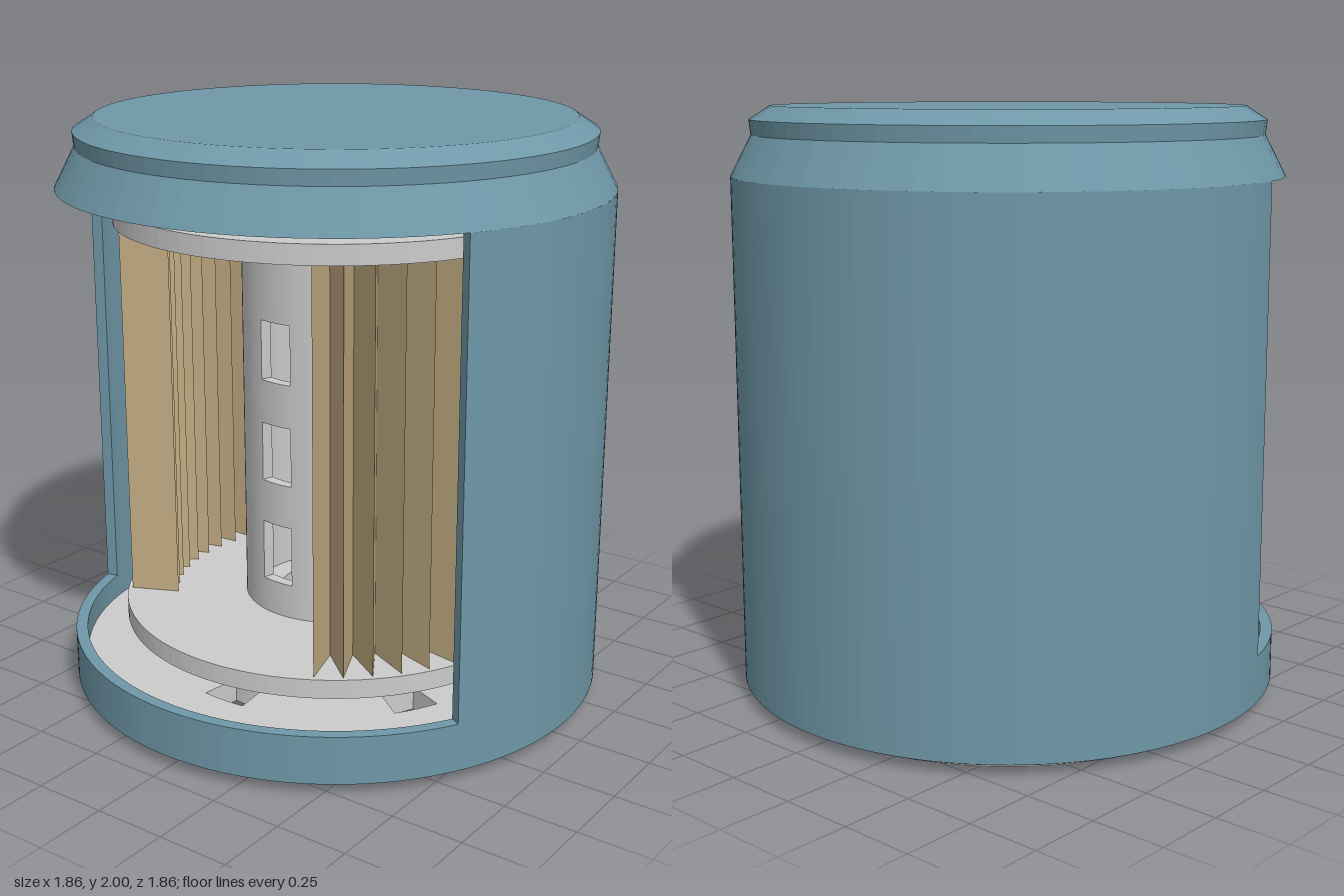
import * as THREE from 'three';

const deg = Math.PI / 180;
const material = (color) =>
  new THREE.MeshStandardMaterial({ color, flatShading: true, side: THREE.DoubleSide });

// Shape drawn in x/z, extruded from y0 up to y1
function slab(shape, y0, y1, curveSegments) {
  return new THREE.ExtrudeGeometry(shape, { depth: y1 - y0, bevelEnabled: false, curveSegments })
    .rotateX(Math.PI / 2)
    .translate(0, y1, 0);
}

// Outline of part of a ring, angles in degrees from +x towards +z
function sectorPath(Type, r0, r1, a0, a1) {
  const path = new Type();
  path.absarc(0, 0, r1, a0 * deg, a1 * deg, false);
  path.absarc(0, 0, r0, a1 * deg, a0 * deg, true);
  path.closePath();
  return path;
}

function discShape(radius, holeRadius) {
  const shape = new THREE.Shape().absarc(0, 0, radius, 0, Math.PI * 2, false);
  if (holeRadius) {
    shape.holes.push(new THREE.Path().absarc(0, 0, holeRadius, 0, Math.PI * 2, true));
  }
  return shape;
}

export function createModel() {
  const model = new THREE.Group();
  model.name = 'cutawayFilter';
  const blue = material(0x6f98a8);
  const grey = material(0xcccccc);
  const tan = material(0xc4ae84);

  function add(name, geometry, mat, parent = model) {
    const mesh = new THREE.Mesh(geometry, mat);
    mesh.name = name;
    parent.add(mesh);
    return mesh;
  }

  // Housing: lower rim, wall with a cut-away front, hollow lid
  const housing = new THREE.Group();
  housing.name = 'housing';
  model.add(housing);
  add('lowerRim', slab(discShape(0.93, 0.89), 0.04, 0.205, 72), blue, housing);
  add('cutawayWall', slab(sectorPath(THREE.Shape, 0.89, 0.93, 165, 390), 0.205, 1.77, 45), blue, housing);
  const lidProfile = [
    [0.89, 1.77], [0.93, 1.77], [0.86, 1.905], [0.865, 1.955], [0.795, 2], [0, 2],
    [0, 1.95], [0.76, 1.95], [0.82, 1.905], [0.89, 1.77],
  ].map(([r, y]) => new THREE.Vector2(r, y));
  add('lid', new THREE.LatheGeometry(lidProfile, 72), blue, housing);

  // Base plate with a ring of inlet slots and a central outlet
  const plate = discShape(0.925, 0.2);
  for (let i = 0; i < 6; i++) {
    const a = 30 + i * 60;
    plate.holes.push(sectorPath(THREE.Path, 0.505, 0.645, a - 7, a + 7));
  }
  add('basePlate', slab(plate, 0.037, 0.12, 48), grey);
  add('gasket', slab(discShape(0.848, 0.787), 0, 0.037, 72), grey);
  add('outletNeck', slab(discShape(0.305, 0.2), 0.12, 0.24, 48), grey);

  // End caps of the filter element
  add('lowerEndCap', slab(discShape(0.745, 0.2), 0.24, 0.305, 48), grey);
  add('upperEndCap', slab(discShape(0.745), 1.65, 1.715, 48), grey);

  // Centre tube: solid bands alternating with rows of six windows
  const tube = new THREE.Group();
  tube.name = 'centreTube';
  model.add(tube);
  const levels = [0.305, 0.425, 0.635, 0.785, 0.99, 1.14, 1.345, 1.65];
  for (let i = 0; i < levels.length - 1; i++) {
    const [y0, y1] = [levels[i], levels[i + 1]];
    if (i % 2 === 0) {
      add('tubeBand', slab(discShape(0.32, 0.28), y0, y1, 48), grey, tube);
    } else {
      for (let k = 0; k < 6; k++) {
        const start = 45 + k * 60;
        add('tubePillar', slab(sectorPath(THREE.Shape, 0.28, 0.32, start, start + 37.5), y0, y1, 5), grey, tube);
      }
    }
  }

  // Pleated paper: a zigzag sheet, open at the front
  const halfPleats = 75;
  const pleats = new THREE.PlaneGeometry(1, 1, halfPleats, 1);
  const pos = pleats.attributes.position;
  for (let i = 0; i < pos.count; i++) {
    const step = i % (halfPleats + 1);
    const a = (60 - step * 3.75) * deg;
    const r = step % 2 ? 0.565 : 0.73;
    pos.setXYZ(i, r * Math.cos(a), pos.getY(i) > 0 ? 1.65 : 0.305, r * Math.sin(a));
  }
  pleats.computeVertexNormals();
  add('pleatedPaper', pleats, tan);

  return model;
}
